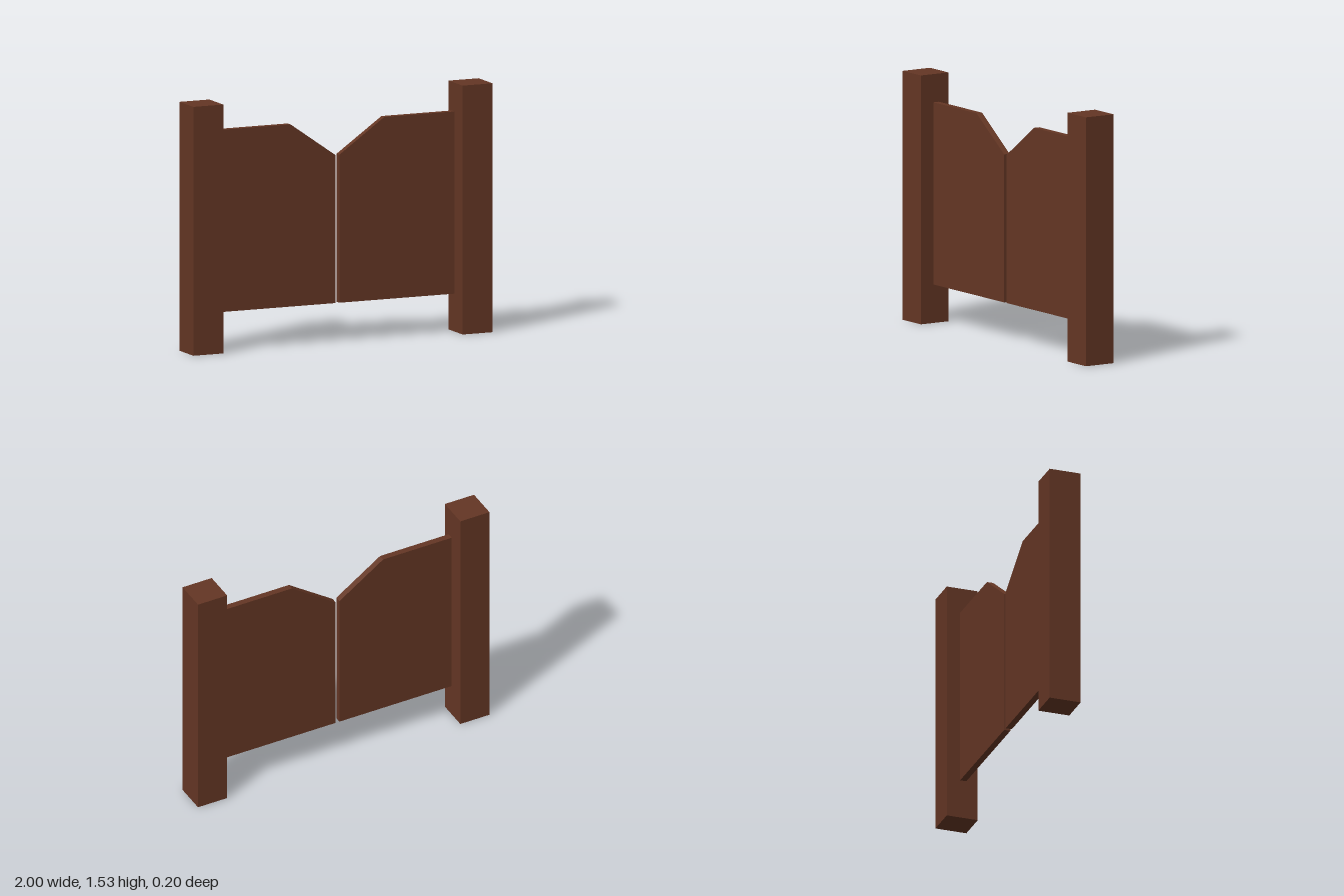
import * as THREE from 'three';

const wood = new THREE.MeshStandardMaterial({ color: 0x643624, flatShading: true });

// Square post standing on the ground
function post(side) {
  const width = 0.2, height = 1.53;
  const mesh = new THREE.Mesh(new THREE.BoxGeometry(width, height, width), wood);
  mesh.position.set(side * 0.9, height / 2, 0);
  return mesh;
}

// Thin door leaf whose top slopes down towards the middle gap
function door(side) {
  const thickness = 0.04;
  const outline = [[0.013, 0.24], [0.783, 0.24], [0.783, 1.36], [0.313, 1.36], [0.013, 1.15]];
  const shape = new THREE.Shape(outline.map(([x, y]) => new THREE.Vector2(side * x, y)));
  const geometry = new THREE.ExtrudeGeometry(shape, { depth: thickness, bevelEnabled: false });
  geometry.translate(0, 0, -thickness / 2);
  return new THREE.Mesh(geometry, wood);
}

export function createModel() {
  const gate = new THREE.Group();
  gate.name = 'swingGate';
  for (const [label, side] of [['left', 1], ['right', -1]]) {
    const postMesh = post(side);
    postMesh.name = `${label}Post`;
    const doorMesh = door(side);
    doorMesh.name = `${label}Door`;
    gate.add(postMesh, doorMesh);
  }
  return gate;
}
